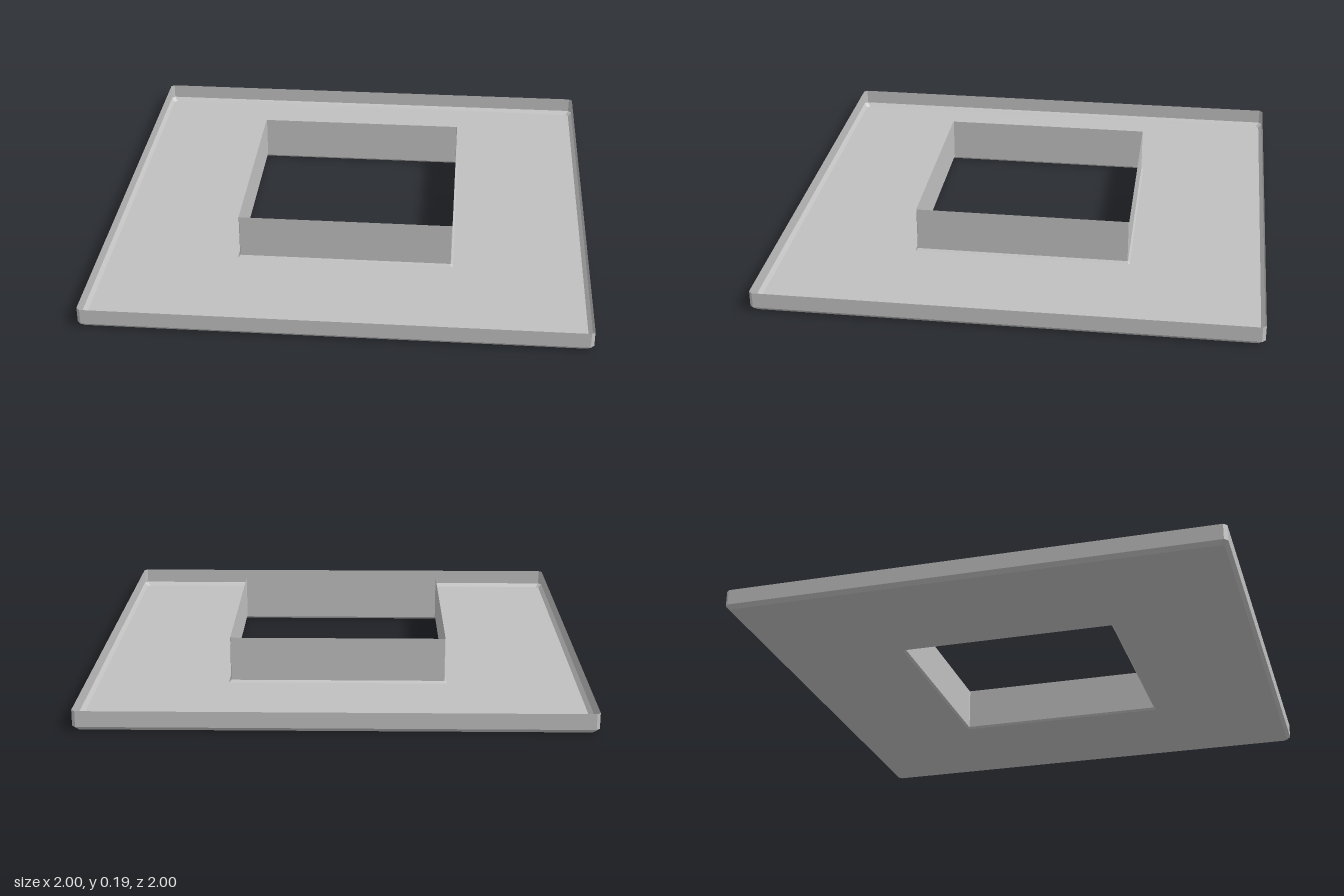
import * as THREE from 'three';

// Square ring with clipped corners: half width, height, corner cut
function ring([half, y, cut]) {
  const a = half, b = half - cut;
  return [[a, b], [b, a], [-b, a], [-a, b], [-a, -b], [-b, -a], [b, -a], [a, -b]]
    .map(([x, z]) => [x, y, z]);
}

// Sheet surface joining successive rings
function loft(name, sections, material) {
  const rings = sections.map(ring);
  const pos = [];
  for (let i = 0; i < rings.length - 1; i++) {
    for (let j = 0; j < 8; j++) {
      const k = (j + 1) % 8;
      const a = rings[i][j], b = rings[i][k], c = rings[i + 1][k], d = rings[i + 1][j];
      pos.push(...a, ...b, ...c, ...a, ...c, ...d);
    }
  }
  const geometry = new THREE.BufferGeometry();
  geometry.setAttribute('position', new THREE.Float32BufferAttribute(pos, 3));
  geometry.computeVertexNormals();
  const mesh = new THREE.Mesh(geometry, material);
  mesh.name = name;
  return mesh;
}

export function createModel() {
  const metal = new THREE.MeshStandardMaterial({ color: 0xc0c0c0, side: THREE.DoubleSide });
  metal.name = 'sheet metal grey';

  const model = new THREE.Group();
  model.name = 'flashingTray';

  // Upturned outer lip with a bevelled bend
  model.add(loft('outerLip', [[1, 0.08, 0.014], [1, 0.016, 0.014], [0.985, 0, 0.012]], metal));
  // Flat base with the square opening
  model.add(loft('basePlate', [[0.985, 0, 0.012], [0.45, 0, 0.004]], metal));
  // Raised collar around the opening
  model.add(loft('collar', [[0.45, 0, 0.004], [0.442, 0.009, 0.002], [0.442, 0.192, 0.002]], metal));

  return model;
}
